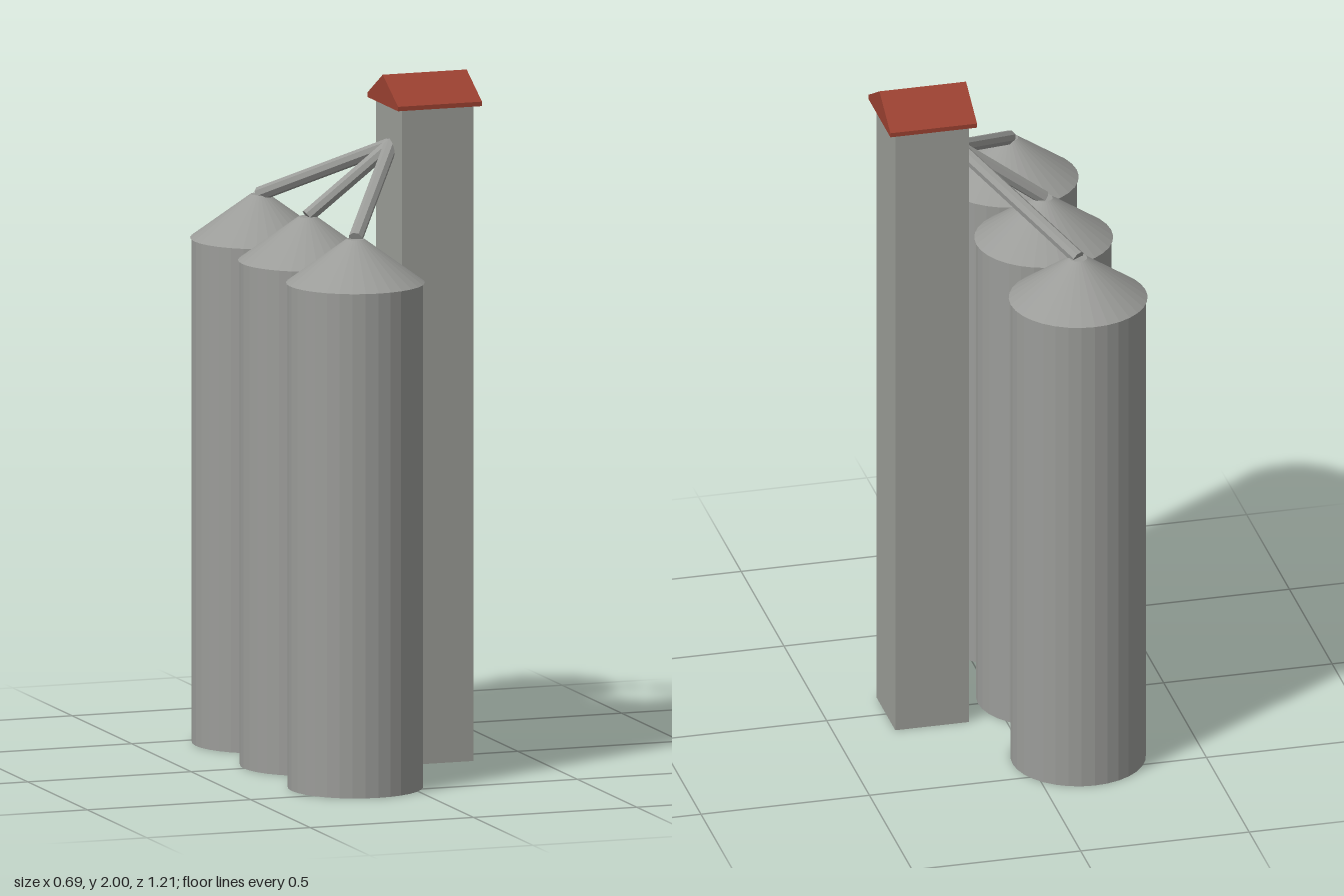
import * as THREE from 'three';

const material = (name, color) => {
  const m = new THREE.MeshStandardMaterial({ color, flatShading: true });
  m.name = name;
  return m;
};

export function createModel() {
  const steel = material('galvanised steel', 0x9b9c99);
  const concrete = material('tower concrete', 0x9b9d97);
  const red = material('red roof', 0x9b4131);

  const model = new THREE.Group();
  model.name = 'grainSilos';

  const add = (name, geometry, mat, parent = model) => {
    const mesh = new THREE.Mesh(geometry, mat);
    mesh.name = name;
    parent.add(mesh);
    return mesh;
  };

  // Cylinder running between two points
  const pipe = (name, from, to, radius, parent) => {
    const dir = to.clone().sub(from);
    const mesh = add(name, new THREE.CylinderGeometry(radius, radius, dir.length(), 8), steel, parent);
    mesh.position.copy(from).add(to).multiplyScalar(0.5);
    mesh.quaternion.setFromUnitVectors(new THREE.Vector3(0, 1, 0), dir.normalize());
  };

  // Three silos in a row, each fed by a chute from the tower
  const siloX = -0.144, eaveY = 1.473, topY = 1.6;
  const chuteTop = new THREE.Vector3(0.112, 1.795, 0);
  for (const z of [-0.403, 0, 0.403]) {
    const silo = new THREE.Group();
    silo.name = 'silo';
    model.add(silo);

    const body = add('siloBody', new THREE.CylinderGeometry(0.195, 0.195, eaveY, 32), steel, silo);
    body.position.set(siloX, eaveY / 2, z);

    const roof = add('siloRoof', new THREE.CylinderGeometry(0.026, 0.2, topY - eaveY, 32), steel, silo);
    roof.position.set(siloX, (topY + eaveY) / 2, z);

    pipe('chute', new THREE.Vector3(siloX, topY, z), chuteTop, 0.021, silo);
  }

  // Elevator tower
  const towerX = 0.215, towerTop = 1.92;
  const tower = add('tower', new THREE.BoxGeometry(0.218, towerTop, 0.218), concrete);
  tower.position.set(towerX, towerTop / 2, 0);

  // Gabled tower roof, ridge along x
  const gable = new THREE.Shape([
    [-0.129, 1.914], [0.129, 1.914], [0.129, 1.927], [0, 2], [-0.129, 1.927],
  ].map(([z, y]) => new THREE.Vector2(z, y)));
  const roofLength = 0.257;
  const towerRoof = add('towerRoof',
    new THREE.ExtrudeGeometry(gable, { depth: roofLength, bevelEnabled: false }), red);
  towerRoof.rotation.y = Math.PI / 2;
  towerRoof.position.x = towerX - roofLength / 2;

  return model;
}
